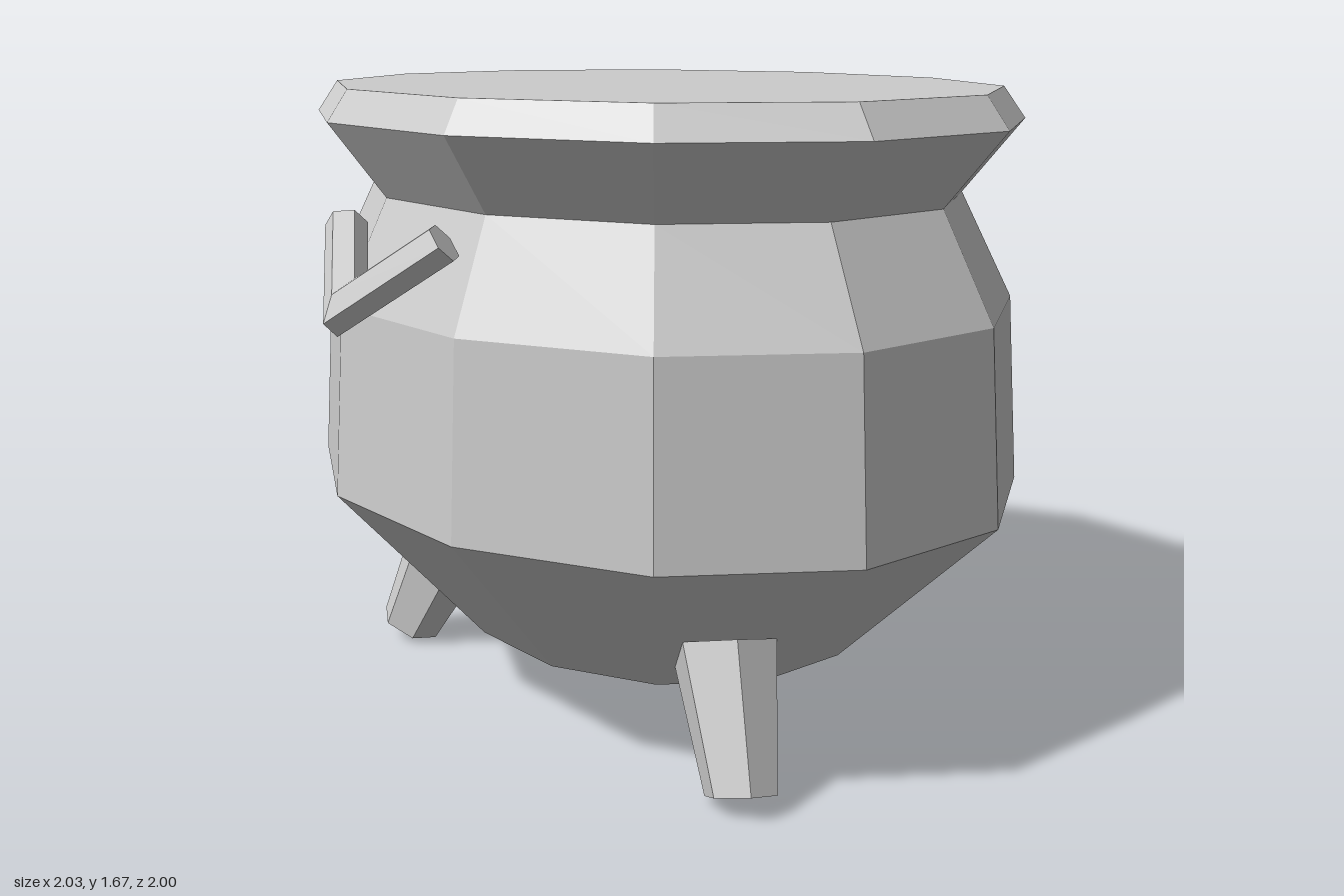
import * as THREE from 'three';

const DEPTH = 1.17; // the whole pot is oval, deeper than it is wide

export function createModel() {
  const group = new THREE.Group();
  const iron = new THREE.MeshStandardMaterial({ color: 0xcccccc, flatShading: true });
  iron.name = 'pale iron';

  const add = (name, geometry) => {
    geometry.scale(1, 1, DEPTH);
    const mesh = new THREE.Mesh(geometry, iron);
    mesh.name = name;
    group.add(mesh);
  };

  // Twelve-sided turned shapes, flat side facing front
  const turned = (profile) => new THREE.LatheGeometry(
    profile.map(([r, y]) => new THREE.Vector2(r, y)), 12, Math.PI / 12);

  add('body', turned([[0, 0.21], [0.507, 0.21], [0.885, 0.64], [0.854, 1.13], [0.73, 1.4]]));
  add('rimAndLid', turned([[0.73, 1.4], [0.869, 1.59], [0.817, 1.67], [0, 1.67]]));

  // Three splayed, tapered legs
  const tilt = THREE.MathUtils.degToRad(25);
  const legLength = 0.36;
  for (let i = 0; i < 3; i++) {
    const leg = new THREE.CylinderGeometry(0.126, 0.084, legLength, 6, 1, false, Math.PI / 6);
    leg.translate(0, legLength / 2, 0);
    leg.rotateZ(tilt);
    leg.translate(0.735, 0.036, 0);
    leg.rotateY((i * Math.PI * 2) / 3);
    add('leg' + (i + 1), leg);
  }

  // V-shaped handles: two hexagonal bars each, mitred where they meet at z = 0
  for (const sx of [1, -1]) {
    for (const sz of [1, -1]) {
      const end = new THREE.Vector3(0.82 * sx, 1.345, 0.19 * sz);
      const tip = new THREE.Vector3(0.955 * sx, 1.18, 0);
      const dir = tip.clone().sub(end);
      const length = dir.length();
      dir.normalize();
      const bar = new THREE.CylinderGeometry(0.05, 0.05, length, 6);
      bar.translate(0, length / 2, 0);
      const pos = bar.attributes.position;
      const turn = new THREE.Quaternion().setFromUnitVectors(new THREE.Vector3(0, 1, 0), dir);
      const p = new THREE.Vector3();
      for (let i = 0; i < pos.count; i++) {
        p.fromBufferAttribute(pos, i);
        const atTip = p.y > length / 2;
        p.applyQuaternion(turn).add(end);
        if (atTip) p.addScaledVector(dir, -p.z / dir.z);
        pos.setXYZ(i, p.x, p.y, p.z);
      }
      bar.computeVertexNormals();
      add((sx > 0 ? 'left' : 'right') + 'Handle' + (sz > 0 ? 'Front' : 'Back'), bar);
    }
  }

  return group;
}
